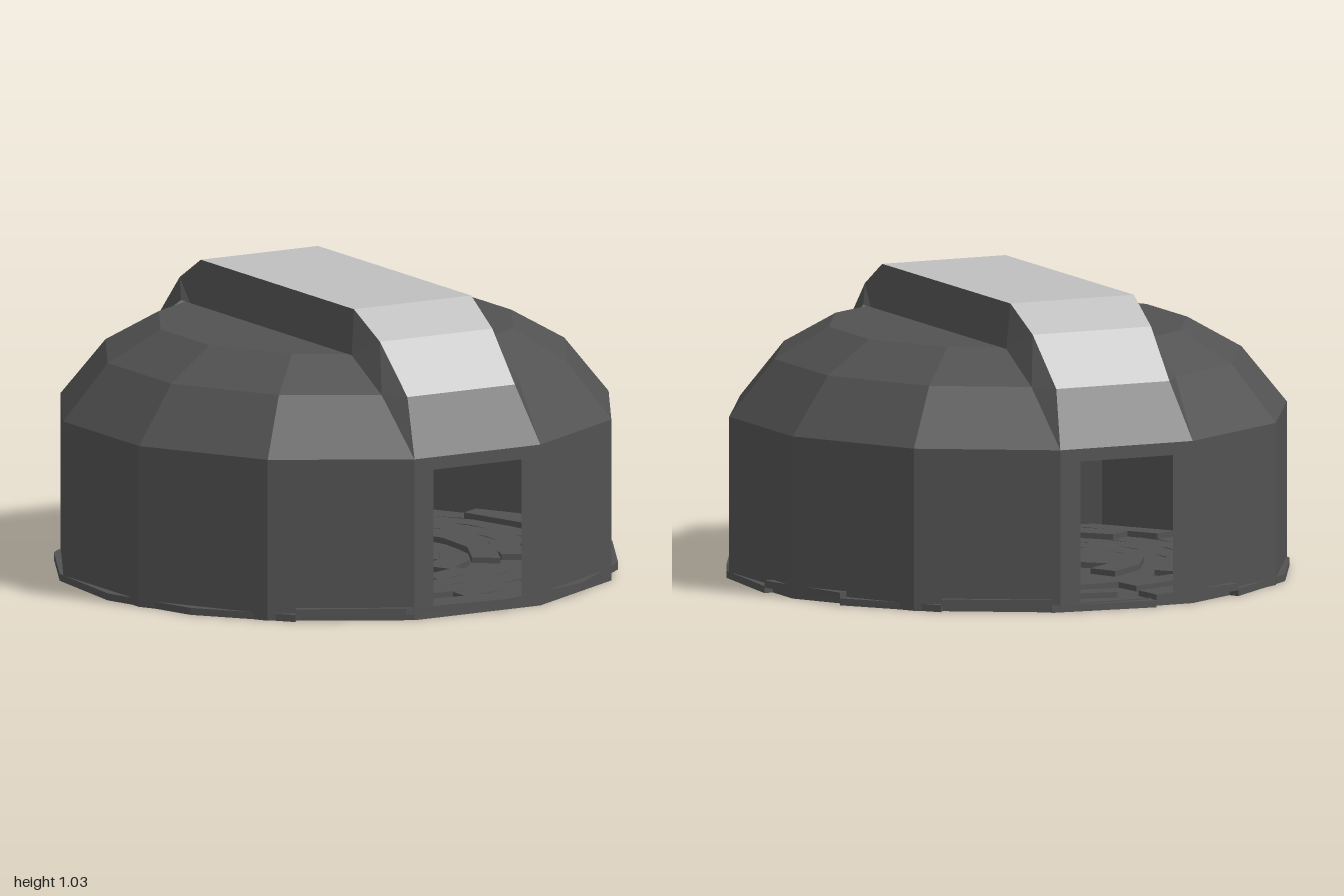
import * as THREE from 'three';
import { mergeGeometries } from 'three/addons/utils/BufferGeometryUtils.js';

const material = (name, color) => {
  const m = new THREE.MeshStandardMaterial({ color, side: THREE.DoubleSide, flatShading: true });
  m.name = name;
  return m;
};

const SIDES = 12, R = 0.995, WALL_H = 0.575;
const HALF = R * Math.sin(Math.PI / SIDES);
const APOTHEM = R * Math.cos(Math.PI / SIDES);

// Rectangle outline, usable as shape or hole
function rect(Type, x, y0, y1) {
  const p = new Type();
  p.moveTo(-x, y0); p.lineTo(x, y0); p.lineTo(x, y1); p.lineTo(-x, y1); p.closePath();
  return p;
}

// Surface from quads of [x, y, z] corners
function quadGeometry(quads) {
  const pos = [];
  for (const [a, b, c, d] of quads) pos.push(...a, ...b, ...c, ...a, ...c, ...d);
  const g = new THREE.BufferGeometry();
  g.setAttribute('position', new THREE.Float32BufferAttribute(pos, 3));
  g.computeVertexNormals();
  return g;
}

export function createModel() {
  const dark = material('dark grey', 0x525252);
  const light = material('light grey', 0xbfbfbf);
  const group = new THREE.Group();
  const add = (name, geometry, mat) => {
    const mesh = new THREE.Mesh(geometry, mat);
    mesh.name = name;
    group.add(mesh);
  };

  // Twelve wall panels, with doorways at front and back
  const panels = [];
  for (let i = 0; i < SIDES; i++) {
    const shape = rect(THREE.Shape, HALF, 0, WALL_H);
    if (i % 6 === 0) shape.holes.push(rect(THREE.Path, 0.18, 0.03, 0.53));
    panels.push(new THREE.ShapeGeometry(shape).translate(0, 0, APOTHEM).rotateY(i * Math.PI * 2 / SIDES));
  }
  add('walls', mergeGeometries(panels), dark);

  // Faceted dome roof with a flat top
  const profile = [[R, WALL_H], [0.833, 0.775], [0.64, 0.885], [0, 0.885]].map(p => new THREE.Vector2(...p));
  add('roof', new THREE.LatheGeometry(profile, SIDES, Math.PI / SIDES), dark);

  // Ridge stations from front to back: upper edge and foot on the roof
  const half = [
    { top: [HALF, WALL_H, APOTHEM], foot: [HALF, WALL_H, APOTHEM] },
    { top: [0.22, 0.775, 0.85], foot: [0.28, 0.775, 0.775] },
    { top: [0.23, 0.945, 0.68], foot: [0.285, 0.885, 0.58] },
    { top: [0.24, 1.035, 0.52], foot: [0.285, 0.885, 0.52] },
  ];
  const back = ([x, y, z]) => [x, y, -z];
  const left = ([x, y, z]) => [-x, y, z];
  const stations = [...half, ...half.map(s => ({ top: back(s.top), foot: back(s.foot) })).reverse()];
  const panel = [], casing = [];
  for (let i = 0; i < stations.length - 1; i++) {
    const a = stations[i], b = stations[i + 1];
    const isEnd = i === 0 || i === stations.length - 2;
    (isEnd ? casing : panel).push([left(a.top), a.top, b.top, left(b.top)]);
    casing.push([a.top, a.foot, b.foot, b.top]);
    casing.push([left(a.foot), left(a.top), left(b.top), left(b.foot)]);
  }
  add('ridgePanel', quadGeometry(panel), light);
  add('ridgeCasing', quadGeometry(casing), dark);

  // Floor of concentric rings of slabs at uneven heights
  let seed = 7;
  const random = () => (seed = (seed * 16807) % 2147483647) / 2147483647;
  const radii = [0.17, 0.27, 0.37, 0.48, 0.58, 0.68, 0.79, 0.88, 1];
  const slabs = [new THREE.CylinderGeometry(0.17, 0.17, 0.025, 16).translate(0, 0.0125, 0).toNonIndexed()];
  const step = Math.PI / 8;
  for (let r = 0; r < radii.length - 1; r++) {
    const isRim = r === radii.length - 2;
    const offset = isRim ? -Math.PI / 2 + 0.1 : random() * step;
    for (let i = 0; i < 16; i++) {
      const a = offset + i * step, b = a + step;
      const corners = [[radii[r], a], [radii[r + 1], a], [radii[r + 1], b], [radii[r], b]];
      const shape = new THREE.Shape(corners.map(([q, t]) => new THREE.Vector2(q * Math.cos(t), q * Math.sin(t))));
      const slab = new THREE.ExtrudeGeometry(shape, { depth: 0.025, bevelEnabled: false });
      slab.rotateX(-Math.PI / 2).translate(0, random() < 0.6 ? 0 : 0.02, 0);
      slabs.push(slab);
    }
  }
  add('floorSlabs', mergeGeometries(slabs), dark);

  // Backing disc that closes the joints between slabs
  add('floorBase', new THREE.CircleGeometry(0.96, 24).rotateX(-Math.PI / 2).translate(0, 0.0225, 0), dark);

  return group;
}
